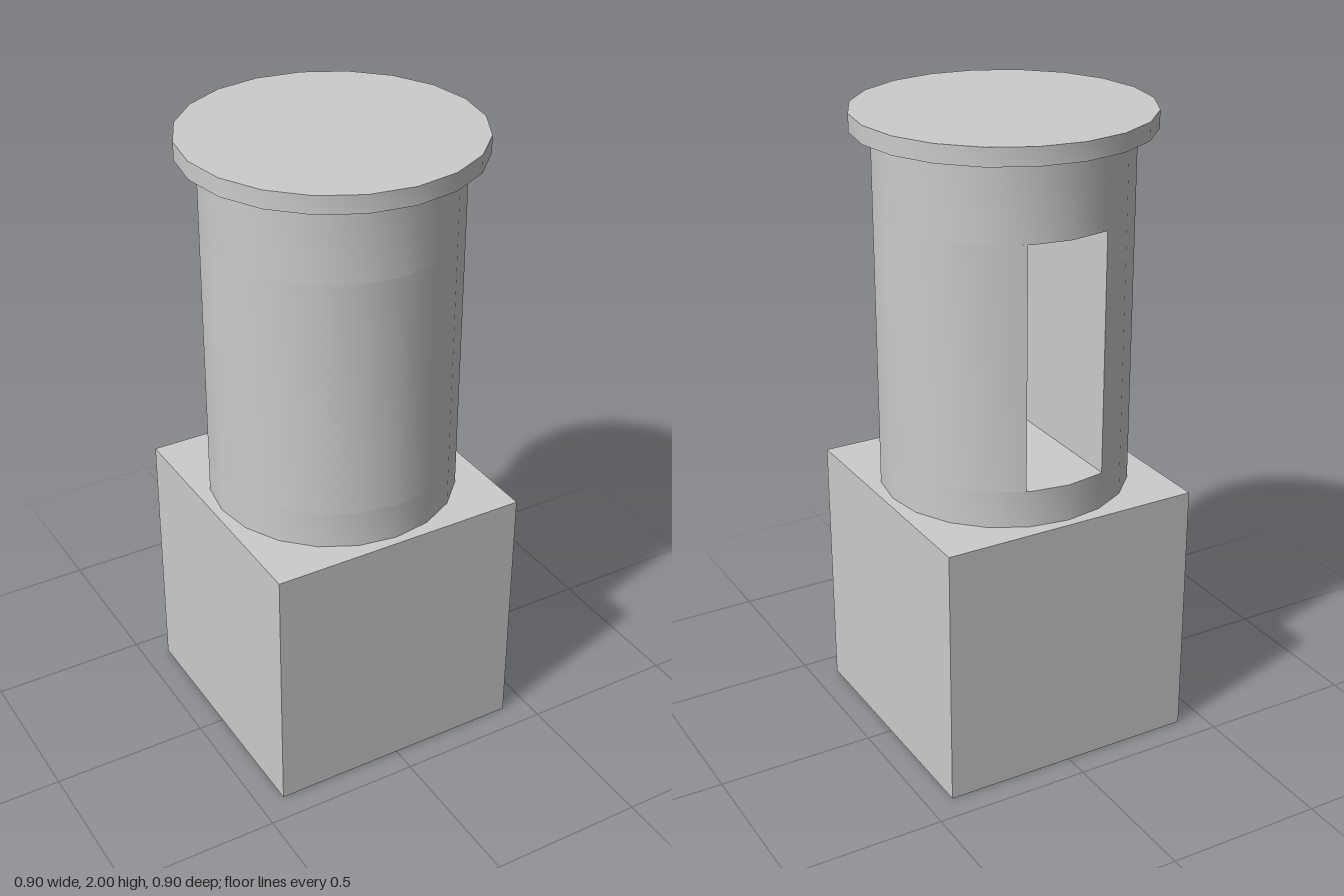
import * as THREE from 'three';
import { toCreasedNormals } from 'three/addons/utils/BufferGeometryUtils.js';

const SIDES = 20;
const BASE = 0.834, RADIUS = 0.388, CAP_RADIUS = 0.45, CAP_BOTTOM = 1.945, TOP = 2;
const NICHE = { bottom: 0.95, top: 1.706, half: 0.13, mouth: 0.364, end: -0.15 };

const material = new THREE.MeshStandardMaterial({ color: 0xcccccc });

// Corners first..last of a regular polygon; shape y points to the back (-z)
function ring(radius, first = 0, last = SIDES - 1) {
  const points = [];
  for (let i = first; i <= last; i++) {
    const a = (i / SIDES) * Math.PI * 2;
    points.push(new THREE.Vector2(radius * Math.cos(a), radius * Math.sin(a)));
  }
  return points;
}

// Upright prism from a plan outline, smooth round the drum and sharp at its edges
function prism(name, outline, y0, y1) {
  const solid = new THREE.ExtrudeGeometry(new THREE.Shape(outline), { depth: y1 - y0, bevelEnabled: false });
  solid.rotateX(-Math.PI / 2).translate(0, y0, 0);
  const mesh = new THREE.Mesh(toCreasedNormals(solid, Math.PI / 6), material);
  mesh.name = name;
  return mesh;
}

export function createModel() {
  const model = new THREE.Group();
  model.name = 'pillar';

  // Cube plinth
  const base = new THREE.Mesh(new THREE.BoxGeometry(BASE, BASE, BASE), material);
  base.name = 'base';
  base.position.y = BASE / 2;
  model.add(base);

  // Drum: solid below and above, with a rectangular niche cut in from the back
  const { bottom, top, half, mouth, end } = NICHE;
  const nichePlan = [
    ...ring(RADIUS, 7, SIDES + 3),
    new THREE.Vector2(half, mouth),
    new THREE.Vector2(half, end),
    new THREE.Vector2(-half, end),
    new THREE.Vector2(-half, mouth),
  ];
  const drum = new THREE.Group();
  drum.name = 'drum';
  drum.add(
    prism('drumBottom', ring(RADIUS), BASE, bottom),
    prism('drumNiche', nichePlan, bottom, top),
    prism('drumTop', ring(RADIUS), top, CAP_BOTTOM),
  );
  model.add(drum);

  // Overhanging lid
  model.add(prism('cap', ring(CAP_RADIUS), CAP_BOTTOM, TOP));
  return model;
}
